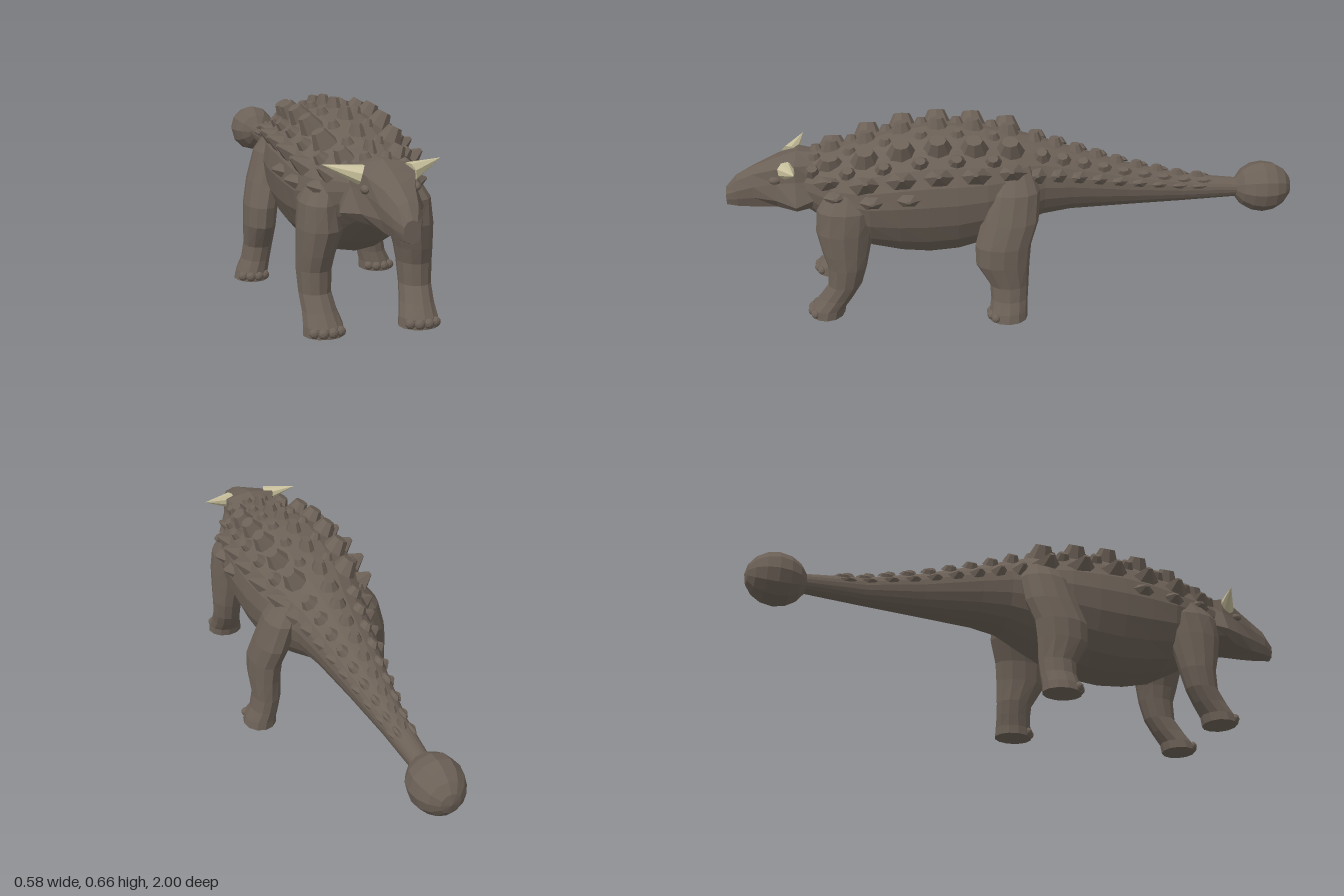
import * as THREE from 'three';

const hide = new THREE.MeshStandardMaterial({ color: 0x6c6157 });
const horn = new THREE.MeshStandardMaterial({ color: 0xc9c19d });
hide.name = 'hide';
horn.name = 'horn';

// Gives a geometry one normal per face
function facet(geo) {
  const g = geo.index ? geo.toNonIndexed() : geo;
  g.computeVertexNormals();
  return g;
}

// Skins a list of closed rings (counterclockwise seen from the last ring) and caps both ends
function loft(rings) {
  const n = rings[0].length, pos = [], idx = [];
  rings.forEach(r => r.forEach(p => pos.push(...p)));
  for (let i = 0; i < rings.length - 1; i++) {
    for (let j = 0; j < n; j++) {
      const k = (j + 1) % n, a = i * n + j, b = i * n + k;
      idx.push(a, b, b + n, a, b + n, a + n);
    }
  }
  const last = (rings.length - 1) * n;
  for (let j = 1; j < n - 1; j++) {
    idx.push(0, j + 1, j);
    idx.push(last, last + j, last + j + 1);
  }
  const g = new THREE.BufferGeometry();
  g.setAttribute('position', new THREE.Float32BufferAttribute(pos, 3));
  g.setIndex(idx);
  return facet(g);
}

function add(parent, name, geo, mat = hide) {
  const m = new THREE.Mesh(geo, mat);
  m.name = name;
  parent.add(m);
  return m;
}

// Torso and tail: z, top, bottom, half width
const BODY = [
  [-0.82, 0.395, 0.33, 0.033], [-0.6, 0.42, 0.32, 0.045], [-0.4, 0.47, 0.315, 0.073],
  [-0.2, 0.535, 0.31, 0.11], [-0.1, 0.57, 0.295, 0.132], [0, 0.6, 0.25, 0.172],
  [0.1, 0.62, 0.205, 0.2], [0.2, 0.632, 0.178, 0.212], [0.3, 0.635, 0.17, 0.215],
  [0.4, 0.62, 0.18, 0.213], [0.5, 0.592, 0.205, 0.205], [0.6, 0.565, 0.26, 0.175],
  [0.68, 0.55, 0.32, 0.125], [0.74, 0.535, 0.36, 0.09],
];

// Point and outward normal on the body; angle a is measured from straight up
function bodyAt(z, a) {
  let i = 0;
  while (i < BODY.length - 2 && z > BODY[i + 1][0]) i++;
  const t = (z - BODY[i][0]) / (BODY[i + 1][0] - BODY[i][0]);
  const [top, bottom, w] = [1, 2, 3].map(k => THREE.MathUtils.lerp(BODY[i][k], BODY[i + 1][k], t));
  const mid = bottom + 0.55 * (top - bottom);
  const h = Math.cos(a) > 0 ? top - mid : mid - bottom;
  return {
    point: new THREE.Vector3(w * Math.sin(a), mid + h * Math.cos(a), z),
    normal: new THREE.Vector3(Math.sin(a) / w, Math.cos(a) / h, 0).normalize(),
    width: w,
  };
}

// Head half sections: z, then x,y pairs from crown to chin
const HEAD = [
  [0.68, 0, 0.55, 0.07, 0.53, 0.09, 0.48, 0.11, 0.42, 0.08, 0.38, 0, 0.36],
  [0.75, 0, 0.555, 0.095, 0.538, 0.1, 0.48, 0.133, 0.4, 0.115, 0.38, 0, 0.365],
  [0.82, 0, 0.535, 0.075, 0.52, 0.08, 0.47, 0.09, 0.41, 0.062, 0.375, 0, 0.36],
  [0.9, 0, 0.505, 0.046, 0.492, 0.06, 0.45, 0.058, 0.41, 0.045, 0.37, 0, 0.36],
  [0.96, 0, 0.475, 0.032, 0.463, 0.046, 0.43, 0.045, 0.4, 0.035, 0.37, 0, 0.357],
  [1.0, 0, 0.43, 0.015, 0.425, 0.025, 0.41, 0.025, 0.39, 0.02, 0.37, 0, 0.36],
];

// Legs: y, centre x, centre z, radius x, radius z
const FRONT_LEG = [
  [0, 0.155, 0.668, 0.066, 0.06], [0.03, 0.156, 0.662, 0.063, 0.06], [0.07, 0.16, 0.632, 0.055, 0.06],
  [0.12, 0.165, 0.6, 0.052, 0.058], [0.19, 0.165, 0.588, 0.056, 0.067], [0.24, 0.16, 0.59, 0.06, 0.08],
  [0.32, 0.147, 0.59, 0.072, 0.098], [0.4, 0.15, 0.58, 0.06, 0.1], [0.46, 0.13, 0.57, 0.045, 0.07],
];
const HIND_LEG = [
  [0, 0.232, 0.036, 0.06, 0.068], [0.03, 0.228, 0.034, 0.056, 0.066], [0.07, 0.215, 0.03, 0.05, 0.064],
  [0.12, 0.206, 0.03, 0.05, 0.067], [0.2, 0.205, 0.052, 0.055, 0.092], [0.27, 0.2, 0.05, 0.058, 0.096],
  [0.35, 0.18, 0.025, 0.06, 0.098], [0.45, 0.15, 0.01, 0.06, 0.09], [0.53, 0.11, 0.01, 0.04, 0.06],
];

function legGeometry(table, side) {
  return loft(table.map(([y, cx, cz, rx, rz]) => Array.from({ length: 12 }, (_, j) => {
    const a = j / 12 * Math.PI * 2;
    return [side * cx + rx * Math.cos(a), y, cz - rz * Math.sin(a)];
  })));
}

export function createModel() {
  const root = new THREE.Group();
  root.name = 'armouredDinosaur';

  // Torso with tapering tail
  add(root, 'bodyAndTail', loft(BODY.map(([z]) => Array.from({ length: 20 }, (_, j) =>
    bodyAt(z, -j / 20 * Math.PI * 2).point.toArray()))));

  // Tail club
  const club = add(root, 'tailClub', facet(new THREE.SphereGeometry(1, 12, 8)));
  club.geometry.rotateX(Math.PI / 2).scale(0.09, 0.092, 0.105);
  club.geometry.computeVertexNormals();
  club.position.set(0, 0.363, -0.895);

  // Head with flared cheeks and narrow beak
  add(root, 'head', loft(HEAD.map(([z, ...v]) => {
    const half = [];
    for (let i = 0; i < v.length; i += 2) half.push([v[i], v[i + 1], z]);
    const left = half.slice(1, -1).reverse();
    return [...half.map(([x, y]) => [-x, y, z]), ...left];
  })));

  const up = new THREE.Vector3(0, 1, 0);
  const knob = facet(new THREE.IcosahedronGeometry(1, 1));
  for (const side of [1, -1]) {
    const label = side > 0 ? 'left' : 'right';

    // Swept horn
    const base = new THREE.Vector3(side * 0.075, 0.516, 0.78);
    const dir = new THREE.Vector3(side * 0.186, 0.546, 0.742).sub(base);
    const h = add(root, label + 'Horn', facet(new THREE.ConeGeometry(0.031, dir.length(), 8)), horn);
    h.position.copy(base).addScaledVector(dir, 0.5);
    h.quaternion.setFromUnitVectors(up, dir.normalize());

    // Brow over the eye
    const brow = add(root, label + 'Brow', knob);
    brow.position.set(side * 0.078, 0.482, 0.82);
    brow.scale.set(0.014, 0.014, 0.022);

    // Legs and toes
    for (const [name, table] of [['FrontLeg', FRONT_LEG], ['HindLeg', HIND_LEG]]) {
      const leg = new THREE.Group();
      leg.name = label + name;
      root.add(leg);
      add(leg, 'limb', legGeometry(table, side));
      const [, cx, cz, rx, rz] = table[0];
      for (let k = 0; k < 4; k++) {
        const a = (k - 1.5) * 0.5;
        const toe = add(leg, 'toe', knob);
        toe.position.set(side * cx + Math.sin(a) * rx * 0.9, 0.017, cz + Math.cos(a) * rz * 0.88);
        toe.scale.set(0.018, 0.017, 0.016);
      }
    }
  }

  // Armour plates set in rows over the back and tail
  const plate = facet(new THREE.CylinderGeometry(0.55, 1, 1, 8));
  const spike = facet(new THREE.CylinderGeometry(0.18, 1, 1, 6));
  const armour = new THREE.Group();
  armour.name = 'armour';
  root.add(armour);
  function scute(name, geo, z, a, wide, high, long) {
    for (const s of a === 0 ? [1] : [1, -1]) {
      const { point, normal } = bodyAt(z, a * s);
      const m = add(armour, name, geo);
      m.position.copy(point).addScaledVector(normal, high * 0.3);
      m.quaternion.setFromUnitVectors(up, normal);
      m.scale.set(wide, high, long);
    }
  }
  for (let i = 0; i < 6; i++) {
    const z = 0.02 + i * 0.122, f = i === 5 ? 0.75 : 1;
    scute('ridgePlate', plate, z, 0, 0.028 * f, 0.038, 0.04);
    scute('backPlate', plate, z, 0.56, 0.042 * f, 0.052 * f, 0.053);
    scute('flankSpike', spike, z, 1.08, 0.036 * f, 0.054 * f, 0.058);
    scute('smallStud', plate, z + 0.055, 0.27, 0.022, 0.022, 0.026);
    scute('smallStud', plate, z + 0.06, 0.82, 0.026, 0.028, 0.032);
    if (i > 2) scute('shoulderSpike', spike, z - 0.02, 1.42, 0.026, 0.034, 0.045);
  }
  for (let i = 0; i < 9; i++) {
    const z = -0.07 - i * 0.073, w = bodyAt(z, 0).width;
    scute('tailRidgePlate', plate, z, 0, w * 0.22 + 0.004, 0.03 - i * 0.0015, 0.03);
    scute('tailPlate', plate, z - 0.02, 0.65, w * 0.22, w * 0.2, 0.033);
    scute('tailFlankSpike', spike, z, 1.2, w * 0.22, w * 0.24, 0.035);
  }
  return root;
}
